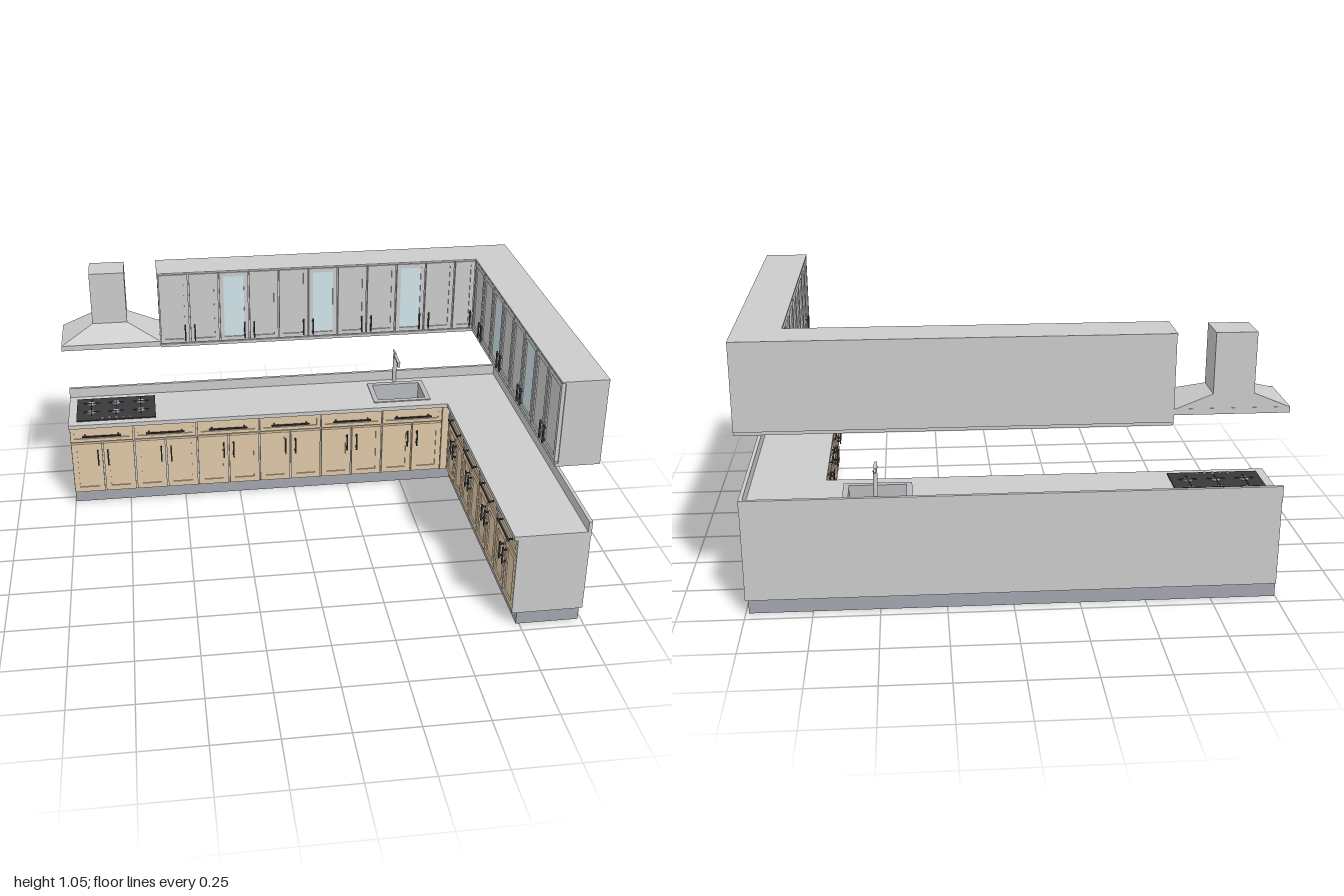
import * as THREE from 'three';

const mat = (color) => new THREE.MeshStandardMaterial({ color });
const grey = mat(0xcccccc), stone = mat(0xf2f2ef), wood = mat(0xe0c8a8), kick = mat(0xa2a7ae);
const dark = mat(0x38393b), glass = mat(0xd0e5ea), steel = mat(0xb8babd);

function add(parent, name, geometry, material) {
  const m = new THREE.Mesh(geometry, material);
  m.name = name;
  parent.add(m);
  return m;
}

// Box given by its two extreme corners
function box(parent, name, material, x0, x1, y0, y1, z0, z1) {
  const m = add(parent, name, new THREE.BoxGeometry(x1 - x0, y1 - y0, z1 - z0), material);
  m.position.set((x0 + x1) / 2, (y0 + y1) / 2, (z0 + z1) / 2);
  return m;
}

const rectPath = (x0, x1, y0, y1) =>
  [[x0, y0], [x1, y0], [x1, y1], [x0, y1]].map((p) => new THREE.Vector2(...p));

// L-shaped slab along the back and the left side, with an optional rectangular hole
function corner(parent, name, material, o, y0, y1, hole) {
  const pts = [[o.x0, o.zb], [o.x0, o.zi], [o.xi, o.zi], [o.xi, o.z1], [o.x1, o.z1], [o.x1, o.zb]];
  const shape = new THREE.Shape(pts.map(([x, z]) => new THREE.Vector2(x, -z)));
  if (hole) shape.holes.push(new THREE.Path(rectPath(hole[0], hole[1], -hole[3], -hole[2])));
  const geo = new THREE.ExtrudeGeometry(shape, { depth: y1 - y0, bevelEnabled: false });
  const m = add(parent, name, geo.rotateX(-Math.PI / 2), material);
  m.position.y = y0;
  return m;
}

// Framed front with a recessed panel, facing local +z
function framedFront(parent, name, frameMat, panelMat, x0, x1, y0, y1, border) {
  const gap = 0.003, t = 0.014;
  const [a, b, c, d] = [x0 + gap, x1 - gap, y0 + gap, y1 - gap];
  const shape = new THREE.Shape(rectPath(a, b, c, d));
  shape.holes.push(new THREE.Path(rectPath(a + border, b - border, c + border, d - border)));
  add(parent, name + 'Frame', new THREE.ExtrudeGeometry(shape, { depth: t, bevelEnabled: false }), frameMat);
  box(parent, name + 'Panel', panelMat, a + border, b - border, c + border, d - border, 0, t - 0.005);
}

// Bar handle standing off the front on two posts
function handle(parent, x, y, length, vertical, out) {
  const g = new THREE.Group();
  g.name = 'handle';
  const h = length / 2, r = 0.003;
  box(g, 'bar', dark, -h, h, -r, r, out - 0.006, out);
  for (const s of [-1, 1]) {
    const p = s * (h - 0.012);
    box(g, 'post', dark, p - r, p + r, -r, r, 0.012, out - 0.006);
  }
  g.position.set(x, y, 0);
  if (vertical) g.rotation.z = Math.PI / 2;
  parent.add(g);
}

// Base unit: one drawer over a pair of doors
function baseUnit(parent, cx, w) {
  framedFront(parent, 'drawer', wood, wood, cx - w / 2, cx + w / 2, 0.315, 0.388, 0.016);
  handle(parent, cx, 0.352, 0.17, false, 0.034);
  for (const s of [-1, 1]) {
    const e = cx + s * w / 2;
    framedFront(parent, 'baseDoor', wood, wood, Math.min(cx, e), Math.max(cx, e), 0.062, 0.311, 0.024);
    handle(parent, cx + s * 0.022, 0.243, 0.078, true, 0.034);
  }
}

// Wall unit: a pair of doors; glassSide marks the glazed one
function wallUnit(parent, cx, w, glassSide) {
  for (const s of [-1, 1]) {
    const e = cx + s * w / 2;
    framedFront(parent, 'wallDoor', grey, s === glassSide ? glass : grey,
      Math.min(cx, e), Math.max(cx, e), 0.72, 1.043, 0.018);
    handle(parent, cx + s * 0.021, 0.77, 0.075, true, 0.024);
  }
}

// Group whose local +z is the front of a run
function run(parent, name, x, z, turned) {
  const g = new THREE.Group();
  g.name = name;
  g.position.set(x, 0, z);
  if (turned) g.rotation.y = -Math.PI / 2;
  parent.add(g);
  return g;
}

export function createModel() {
  const root = new THREE.Group();
  root.name = 'cornerKitchen';

  // Base cabinets, plinth and worktop
  const bowl = [0.39, 0.615, -0.645, -0.485];
  corner(root, 'plinth', kick, { x0: -0.998, xi: 0.737, x1: 0.988, zb: -0.702, zi: -0.46, z1: 0.705 }, 0, 0.057);
  corner(root, 'baseCarcass', grey, { x0: -0.998, xi: 0.729, x1: 0.999, zb: -0.712, zi: -0.444, z1: 0.712 }, 0.057, 0.392, bowl);
  corner(root, 'worktop', stone, { x0: -1, xi: 0.7, x1: 1, zb: -0.713, zi: -0.415, z1: 0.714 }, 0.392, 0.41, bowl);
  box(root, 'backUpstand', stone, -1, 1, 0.41, 0.455, -0.713, -0.699);
  box(root, 'sideUpstand', stone, 0.986, 1, 0.41, 0.455, -0.699, 0.714);
  box(root, 'endPanel', grey, 0.715, 0.729, 0.057, 0.392, 0.703, 0.712);

  const backBase = run(root, 'backBaseFronts', 0, -0.444, false);
  for (let i = 0; i < 6; i++) baseUnit(backBase, -0.859 + i * 0.2805, 0.2805);
  box(backBase, 'fillerStrip', wood, 0.684, 0.715, 0.06, 0.39, 0, 0.012);
  const sideBase = run(root, 'sideBaseFronts', 0.729, 0, true);
  for (let i = 0; i < 4; i++) baseUnit(sideBase, -0.287 + i * 0.2835, 0.2835);

  // Wall cabinets with a light rail along the bottom edge
  corner(root, 'wallCarcass', grey, { x0: -0.575, xi: 0.839, x1: 0.999, zb: -0.713, zi: -0.56, z1: 0.713 }, 0.718, 1.043);
  corner(root, 'wallTop', grey, { x0: -0.577, xi: 0.824, x1: 1, zb: -0.714, zi: -0.544, z1: 0.715 }, 1.043, 1.05);
  corner(root, 'lightRail', grey, { x0: -0.575, xi: 0.828, x1: 0.998, zb: -0.708, zi: -0.548, z1: 0.713 }, 0.705, 0.718);
  const backWall = run(root, 'backWallFronts', 0, -0.56, false);
  [0, -1, 1, 0, -1].forEach((g, i) => wallUnit(backWall, -0.443 + i * 0.261, 0.261, g));
  framedFront(backWall, 'cornerDoor', grey, grey, 0.732, 0.826, 0.72, 1.043, 0.018);
  handle(backWall, 0.812, 0.77, 0.075, true, 0.024);
  const sideWall = run(root, 'sideWallFronts', 0.839, 0, true);
  [0, -1, 1, 0].forEach((g, i) => wallUnit(sideWall, -0.388 + i * 0.314, 0.314, i === 1 || i === 2 ? g : 0));

  // Extractor hood: canopy rim, tapered cover and chimney
  const hood = new THREE.Group();
  hood.name = 'extractorHood';
  root.add(hood);
  box(hood, 'canopyRim', grey, -1, -0.575, 0.745, 0.768, -0.713, -0.47);
  const cover = new THREE.BoxGeometry(1, 1, 1);
  const p = cover.attributes.position;
  for (let i = 0; i < p.count; i++) {
    const top = p.getY(i) > 0, right = p.getX(i) > 0, front = p.getZ(i) > 0;
    const [x0, x1, z1] = top ? [-0.865, -0.715, -0.575] : [-0.995, -0.58, -0.478];
    p.setXYZ(i, right ? x1 : x0, top ? 0.822 : 0.768, front ? z1 : -0.712);
  }
  cover.computeVertexNormals();
  add(hood, 'taperedCover', cover, grey);
  box(hood, 'chimney', grey, -0.865, -0.715, 0.822, 1.05, -0.712, -0.575);
  box(hood, 'filter', dark, -0.97, -0.605, 0.742, 0.745, -0.69, -0.495);

  // Hob with burners, pan supports and knobs
  const hob = new THREE.Group();
  hob.name = 'hob';
  root.add(hob);
  box(hob, 'hobPlate', dark, -0.965, -0.615, 0.41, 0.415, -0.665, -0.45);
  for (const x of [-0.9, -0.79, -0.68]) for (const z of [-0.61, -0.525]) {
    const burner = add(hob, 'burner', new THREE.CylinderGeometry(0.017, 0.02, 0.004, 20), steel);
    burner.position.set(x, 0.416, z);
    box(hob, 'panSupport', dark, x - 0.035, x + 0.035, 0.417, 0.42, z - 0.002, z + 0.002);
    box(hob, 'panSupport', dark, x - 0.002, x + 0.002, 0.417, 0.42, z - 0.035, z + 0.035);
  }
  for (let i = 0; i < 5; i++) {
    const knob = add(hob, 'knob', new THREE.CylinderGeometry(0.006, 0.007, 0.006, 14), steel);
    knob.position.set(-0.85 + i * 0.03, 0.417, -0.464);
  }

  // Sink: rim and open bowl
  const sink = new THREE.Group();
  sink.name = 'sink';
  root.add(sink);
  const [bx0, bx1, bz0, bz1] = bowl;
  const rim = new THREE.Shape(rectPath(0.372, 0.633, 0.466, 0.665));
  rim.holes.push(new THREE.Path(rectPath(bx0 + 0.004, bx1 - 0.004, -bz1 + 0.004, -bz0 - 0.004)));
  const rimGeo = new THREE.ExtrudeGeometry(rim, { depth: 0.004, bevelEnabled: false });
  add(sink, 'sinkRim', rimGeo.rotateX(-Math.PI / 2), steel).position.y = 0.41;
  box(sink, 'bowlBase', steel, bx0, bx1, 0.318, 0.322, bz0, bz1);
  for (const [a, b] of [[bx0, bx0 + 0.004], [bx1 - 0.004, bx1]]) box(sink, 'bowlSide', steel, a, b, 0.322, 0.41, bz0, bz1);
  for (const [a, b] of [[bz0, bz0 + 0.004], [bz1 - 0.004, bz1]]) box(sink, 'bowlEnd', steel, bx0, bx1, 0.322, 0.41, a, b);
  add(sink, 'drain', new THREE.CylinderGeometry(0.014, 0.014, 0.003, 20), dark).position.set(0.5, 0.323, -0.565);

  // Tap: column, spout, nozzle and lever
  const tap = new THREE.Group();
  tap.name = 'tap';
  root.add(tap);
  add(tap, 'column', new THREE.CylinderGeometry(0.008, 0.009, 0.14, 20), grey).position.set(0.505, 0.48, -0.684);
  box(tap, 'spout', grey, 0.499, 0.511, 0.537, 0.547, -0.684, -0.588);
  box(tap, 'nozzle', grey, 0.499, 0.511, 0.524, 0.54, -0.598, -0.588);
  box(tap, 'lever', grey, 0.501, 0.509, 0.55, 0.556, -0.717, -0.676);

  return root;
}
